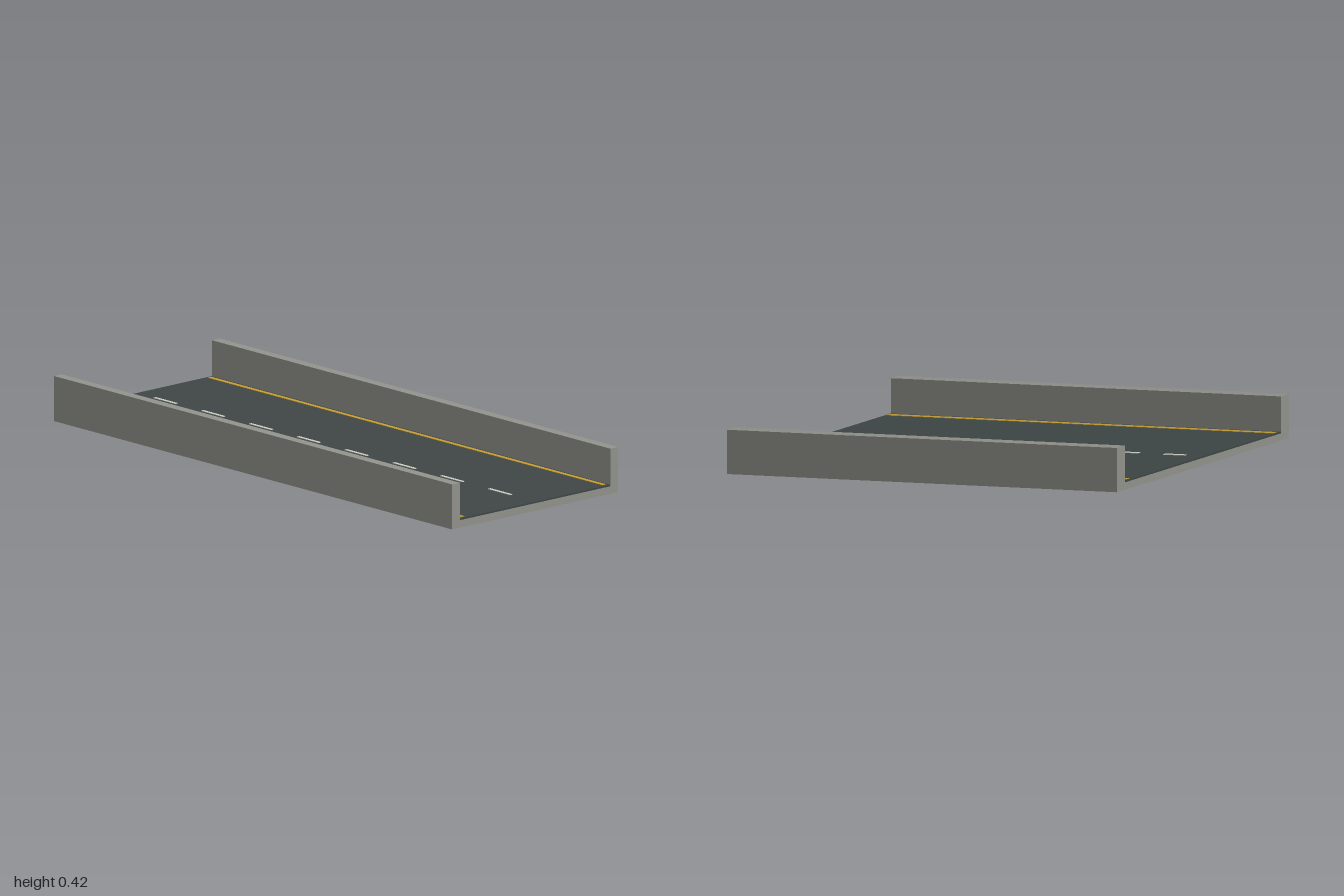
import * as THREE from 'three';

const SLOPE = 0.12; // rise per unit of depth towards the back

const material = (name, color) => {
  const m = new THREE.MeshStandardMaterial({ color });
  m.name = name;
  return m;
};

// Lifts every vertex along the slope, keeping the ends vertical
function shear(geometry) {
  const p = geometry.attributes.position;
  for (let i = 0; i < p.count; i++) p.setY(i, p.getY(i) + SLOPE * (1 - p.getZ(i)));
  geometry.computeVertexNormals();
  return geometry;
}

export function createModel() {
  const group = new THREE.Group();
  group.name = 'roadRamp';
  const concrete = material('concrete', 0x8f9089);
  const asphalt = material('asphalt', 0x3e4545);
  const yellow = material('yellowPaint', 0xc09a32);
  const white = material('whitePaint', 0xc8c9be);

  const add = (name, geometry, mat) => {
    const mesh = new THREE.Mesh(shear(geometry), mat);
    mesh.name = name;
    group.add(mesh);
  };
  // Sloped slab given by its centre, size and base height
  const slab = (name, mat, x, y, z, w, h, d) =>
    add(name, new THREE.BoxGeometry(w, h, d).translate(x, y + h / 2, z), mat);

  // Concrete trough: deck and both side walls in one U-shaped section
  const section = new THREE.Shape([
    [-0.56, 0.003], [0.56, 0.003], [0.56, 0.187], [0.508, 0.187],
    [0.508, 0.034], [-0.508, 0.034], [-0.508, 0.187], [-0.56, 0.187],
  ].map(([x, y]) => new THREE.Vector2(x, y)));
  add('deckAndWalls',
    new THREE.ExtrudeGeometry(section, { depth: 2, bevelEnabled: false }).translate(0, 0, -1), concrete);

  // Road surface
  slab('roadSurface', asphalt, 0, 0.034, 0, 1.012, 0.007, 2);

  // Edge lines
  for (const side of [-1, 1]) {
    slab(side > 0 ? 'leftEdgeLine' : 'rightEdgeLine', yellow, side * 0.477, 0.04, 0, 0.024, 0.003, 1.98);
  }

  // Centre dashes
  for (let i = 0; i < 8; i++) {
    slab('centreDash' + (i + 1), white, 0, 0.04, -0.856 + i * 0.24, 0.018, 0.003, 0.11);
  }
  return group;
}
